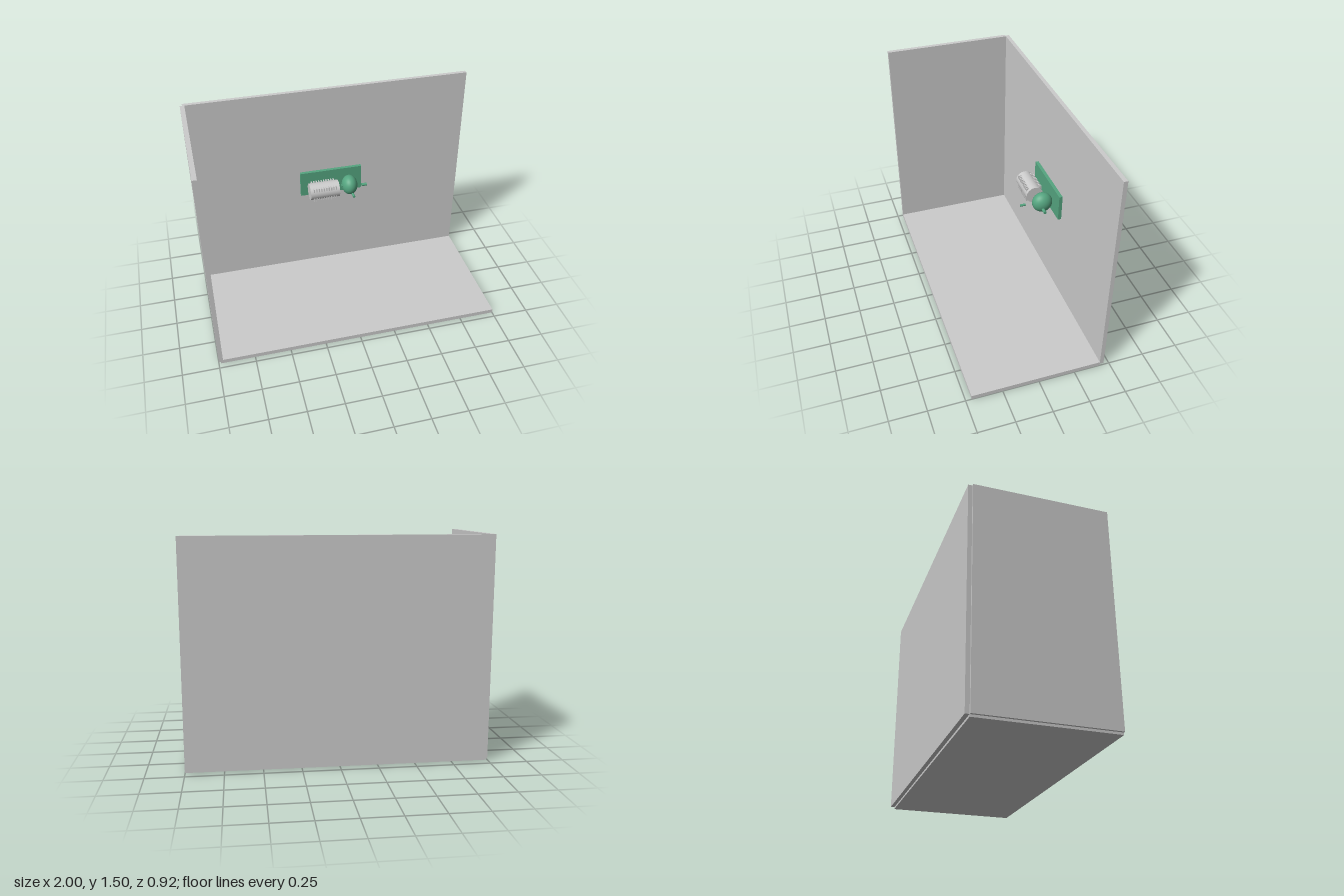
import * as THREE from 'three';

export function createModel() {
  const model = new THREE.Group();
  const grey = new THREE.MeshStandardMaterial({ color: 0xcccccc });
  const green = new THREE.MeshStandardMaterial({ color: 0x55a580 });

  function add(name, geometry, material, x = 0, y = 0, z = 0, parent = model) {
    const mesh = new THREE.Mesh(geometry, material);
    mesh.name = name;
    mesh.position.set(x, y, z);
    parent.add(mesh);
    return mesh;
  }

  // Box given by its lower and upper corners
  function slab(name, material, a, b) {
    const size = b.map((v, i) => v - a[i]);
    const mid = b.map((v, i) => (v + a[i]) / 2);
    return add(name, new THREE.BoxGeometry(...size), material, ...mid);
  }

  // Room corner: floor, side wall and back wall
  slab('floor', grey, [-0.985, 0, -0.433], [1, 0.03, 0.46]);
  slab('sideWall', grey, [-1, 0.015, -0.433], [-0.97, 1.505, 0.46]);
  slab('backWall', grey, [-0.985, 0.015, -0.46], [1, 1.505, -0.433]);

  // Mounting plate on the back wall
  slab('mountingPlate', green, [-0.225, 0.667, -0.435], [0.23, 0.858, -0.409]);

  // Ribbed drum lying along x
  const drum = new THREE.Group();
  drum.name = 'ribbedDrum';
  drum.position.set(-0.075, 0.763, -0.31);
  model.add(drum);
  const body = new THREE.CylinderGeometry(0.061, 0.061, 0.214, 32).rotateZ(Math.PI / 2);
  add('drumBody', body, grey, 0, 0, 0, drum);

  // Square fins whose corners stand out from the drum
  const fin = new THREE.BoxGeometry(0.008, 0.106, 0.112);
  for (let i = 0; i < 10; i++) add('drumFin', fin, grey, -0.081 + i * 0.018, -0.002, 0, drum);

  // Flattened bulb
  const bulb = add('bulb', new THREE.SphereGeometry(0.072, 32, 24), green, 0.122, 0.763, -0.33);
  bulb.scale.x = 0.8;

  // Small pins around the bulb
  const pin = new THREE.CylinderGeometry(0.011, 0.011, 0.038, 16);
  add('sidePin', pin.clone().rotateZ(Math.PI / 2), green, 0.225, 0.763, -0.305);
  add('frontPin', pin.clone().rotateX(Math.PI / 2).scale(0.8, 0.8, 1), green, 0.115, 0.763, -0.19);
  add('innerPin', pin.clone().rotateZ(Math.PI / 2), green, 0.08, 0.763, -0.33);

  return model;
}
